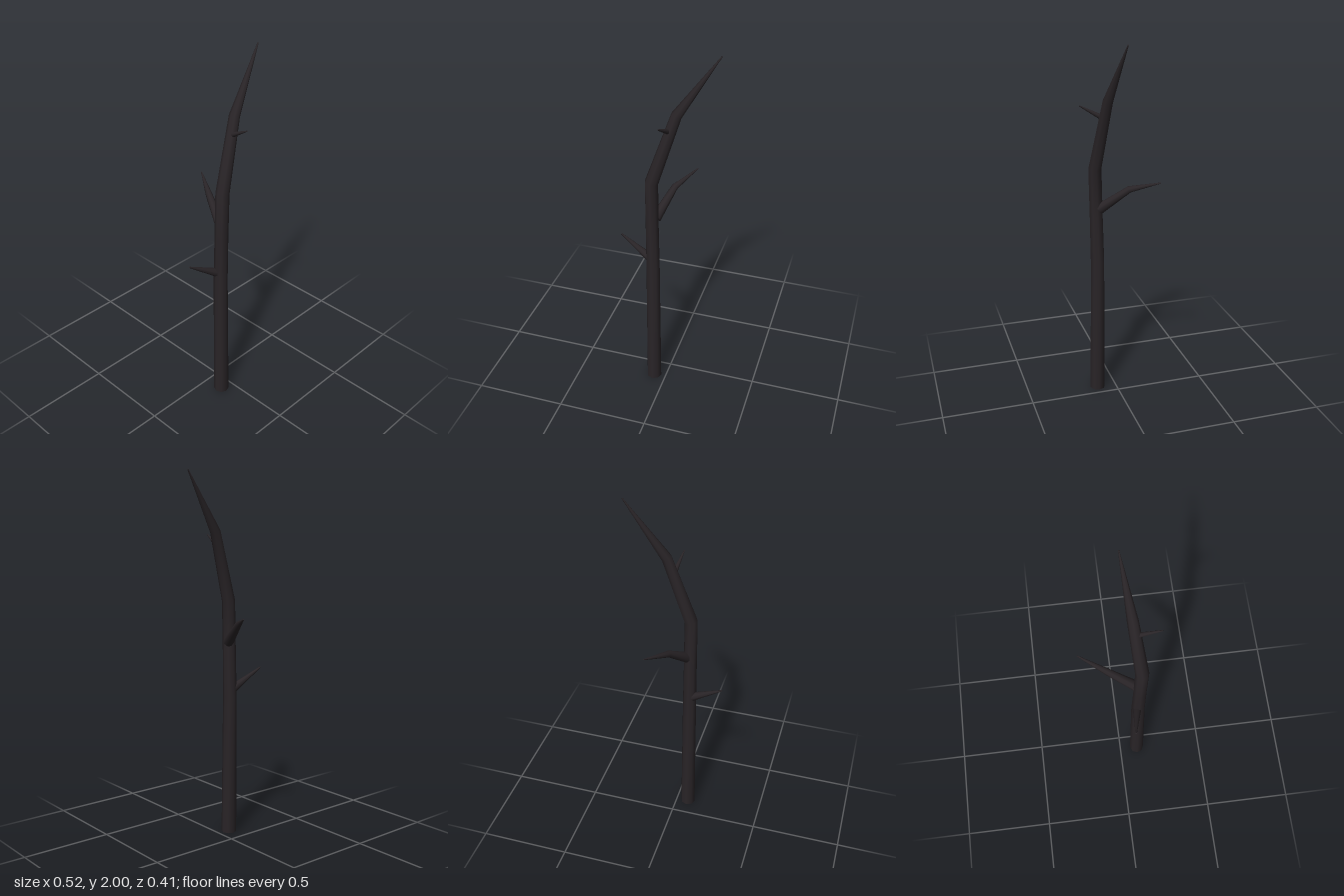
import * as THREE from 'three';

const SIDES = 8;
const bark = new THREE.MeshStandardMaterial({ color: 0x292427 });

// Tapered limb through stations [x, y, z, radius], rings mitred at each bend
function limb(name, stations) {
  const pts = stations.map(([x, y, z]) => new THREE.Vector3(x, y, z));
  const up = new THREE.Vector3(0, 1, 0);
  const last = pts.length - 1;
  const dir = (i) => pts[i + 1].clone().sub(pts[i]).normalize();
  const pos = [];
  const index = [];

  const rings = pts.map((p, i) => {
    const tangent = dir(Math.min(i, last - 1)).add(dir(Math.max(i - 1, 0))).normalize();
    const turn = new THREE.Quaternion().setFromUnitVectors(up, tangent);
    return Array.from({ length: SIDES }, (_, s) => {
      const a = (s / SIDES) * Math.PI * 2;
      return new THREE.Vector3(Math.sin(a), 0, Math.cos(a))
        .multiplyScalar(stations[i][3]).applyQuaternion(turn).add(p);
    });
  });

  // Sides share vertices so they shade smoothly
  rings.forEach((ring) => ring.forEach((v) => pos.push(v.x, v.y, v.z)));
  for (let i = 0; i < last; i++) {
    for (let s = 0; s < SIDES; s++) {
      const a = i * SIDES + s;
      const b = i * SIDES + (s + 1) % SIDES;
      index.push(a, b, b + SIDES, a, b + SIDES, a + SIDES);
    }
  }

  // Flat end caps on their own vertices
  [0, last].forEach((i) => {
    const start = pos.length / 3;
    rings[i].forEach((v) => pos.push(v.x, v.y, v.z));
    for (let s = 1; s < SIDES - 1; s++) {
      if (i === 0) index.push(start, start + s + 1, start + s);
      else index.push(start, start + s, start + s + 1);
    }
  });

  const geometry = new THREE.BufferGeometry();
  geometry.setAttribute('position', new THREE.Float32BufferAttribute(pos, 3));
  geometry.setIndex(index);
  geometry.computeVertexNormals();
  const mesh = new THREE.Mesh(geometry, bark);
  mesh.name = name;
  return mesh;
}

export function createModel() {
  const tree = new THREE.Group();
  tree.name = 'bareTree';
  tree.add(
    // Trunk rises straight, then leans over to a sharp tip
    limb('trunk', [
      [-0.068, 0, 0.105, 0.042],
      [-0.070, 0.78, 0.098, 0.038],
      [-0.070, 1.05, 0.103, 0.036],
      [-0.069, 1.315, 0.108, 0.036],
      [0.051, 1.69, 0.071, 0.028],
      [0.257, 2.0, 0.03, 0.003],
    ]),
    // Short spike on the right
    limb('lowerTwig', [
      [-0.075, 0.822, 0.092, 0.026],
      [-0.26, 0.933, 0.06, 0.004],
    ]),
    // Bent branch reaching to the back
    limb('backBranch', [
      [-0.054, 1.092, 0.09, 0.029],
      [0.004, 1.207, -0.06, 0.018],
      [0.091, 1.255, -0.205, 0.003],
    ]),
    // Small spike near the top, pointing forward
    limb('upperTwig', [
      [0.017, 1.6, 0.08, 0.015],
      [-0.002, 1.67, 0.205, 0.003],
    ]),
  );
  return tree;
}
